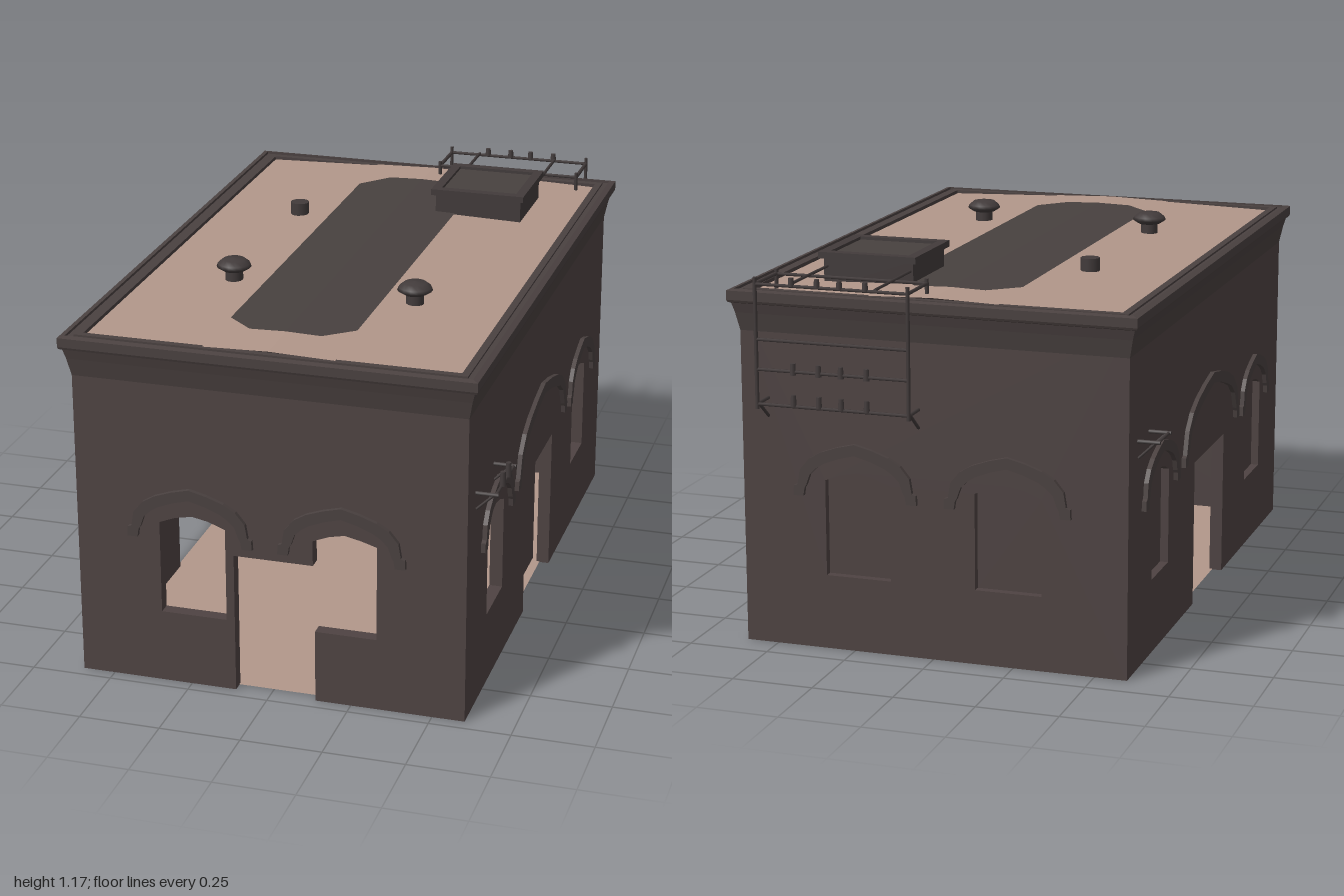
import * as THREE from 'three';

const mat = (name, color) => new THREE.MeshStandardMaterial({ name, color, side: THREE.DoubleSide });
const wallMat = mat('dark brick', 0x4e4342);
const trimMat = mat('dark trim', 0x4a4140);
const roofMat = mat('beige', 0xb2978a);
const patchMat = mat('roof patch', 0x48413f);
const metalMat = mat('dark metal', 0x423b3b);

const THICK = 0.04, Z0 = -0.91, Z1 = 0.96, ZC = (Z0 + Z1) / 2, HZ = (Z1 - Z0) / 2;
const WALL_TOP = 1.06;

function add(parent, name, geo, material, x = 0, y = 0, z = 0) {
  const m = new THREE.Mesh(geo, material);
  m.name = name;
  m.position.set(x, y, z);
  parent.add(m);
  return m;
}
const box = (p, name, m, w, h, d, x, y, z) => add(p, name, new THREE.BoxGeometry(w, h, d), m, x, y, z);
const shapeOf = pts => new THREE.Shape(pts.map(p => new THREE.Vector2(...p)));
const extrude = (shape, depth) => new THREE.ExtrudeGeometry(shape, { depth, bevelEnabled: false });

// Thin bar between two points
function rod(p, a, b, r = 0.005) {
  const A = new THREE.Vector3(...a), B = new THREE.Vector3(...b);
  const dir = B.clone().sub(A);
  const m = add(p, 'bar', new THREE.CylinderGeometry(r, r, dir.length(), 6), metalMat);
  m.position.copy(A).add(B).multiplyScalar(0.5);
  m.quaternion.setFromUnitVectors(new THREE.Vector3(0, 1, 0), dir.normalize());
}
const insulator = (p, x, y, z, h = 0.035) =>
  add(p, 'insulator', new THREE.CylinderGeometry(0.008, 0.01, h, 8), metalMat, x, y + h / 2, z);

// Window outline with a shallow pointed head
const windowPts = (c, w) => [
  [c - w / 2, 0.23], [c + w / 2, 0.23], [c + w / 2, 0.525],
  [c + w * 0.25, 0.545], [c, 0.555], [c - w * 0.25, 0.545], [c - w / 2, 0.525]];

// Raised hood moulding with knobbed feet
function arch(p, c, w, foot, peak) {
  const h = peak - foot;
  const outer = [[w, 0], [w - 0.002, 0.03], [w - 0.014, 0.035], [w * 0.89, h * 0.47],
    [w * 0.74, h * 0.68], [w * 0.55, h * 0.81], [w * 0.28, h * 0.92]];
  const t = 0.034;
  const inner = [[w * 0.26, h * 0.92 - t], [w * 0.5, h * 0.81 - t], [w * 0.74 - 0.025, h * 0.68 - 0.026],
    [w * 0.89 - 0.032, h * 0.47 - 0.012], [w - 0.042, 0.035], [w - 0.036, 0.025], [w - 0.032, 0]];
  const flip = a => a.map(([x, y]) => [-x, y]).reverse();
  const pts = [...outer, [0, h], ...flip(outer), ...flip(inner), [0, h - t], ...inner];
  add(p, 'archMoulding', extrude(shapeOf(pts.map(([x, y]) => [c + x, foot + y])), 0.014), trimMat);
}

// One wall: local x runs along it, local z = 0 is its outer face
function wall(parent, name, outline, windows, blind, arches) {
  const g = new THREE.Group();
  g.name = name;
  parent.add(g);
  const s = shapeOf(outline);
  windows.forEach(([c, w]) => s.holes.push(new THREE.Path(windowPts(c, w).map(p => new THREE.Vector2(...p)))));
  add(g, name + 'Panel', extrude(s, THICK), wallMat, 0, 0, -THICK);
  if (blind) windows.forEach(([c, w]) =>
    add(g, 'blindWindow', extrude(shapeOf(windowPts(c, w)), 0.015), wallMat, 0, 0, -THICK));
  arches.forEach(a => arch(g, ...a));
  return g;
}

// Rectangular rings [outset, height] joined into a cornice
function corniceGeometry(profile) {
  const pos = [];
  const sx = [-1, 1, 1, -1], sz = [1, 1, -1, -1];
  const pt = ([o, y], k) => [sx[k] * (0.6 + o), y, ZC + sz[k] * (HZ + o)];
  for (let i = 0; i < profile.length - 1; i++) for (let k = 0; k < 4; k++) {
    const n = (k + 1) % 4;
    const a = pt(profile[i], k), b = pt(profile[i], n), c = pt(profile[i + 1], n), d = pt(profile[i + 1], k);
    pos.push(...a, ...b, ...c, ...a, ...c, ...d);
  }
  const g = new THREE.BufferGeometry();
  g.setAttribute('position', new THREE.Float32BufferAttribute(pos, 3));
  g.computeVertexNormals();
  return g;
}

// Half of a gently pitched roof surface, from a plan outline of [x, z]
function roofGeometry(pts, lift) {
  const g = new THREE.ShapeGeometry(shapeOf(pts.map(([x, z]) => [x, -z])));
  g.rotateX(-Math.PI / 2);
  const p = g.attributes.position;
  for (let i = 0; i < p.count; i++) p.setY(i, 1.096 - 0.03 * Math.abs(p.getX(i)) + lift);
  g.computeVertexNormals();
  return g;
}

// Small wall bracket carrying insulators, in a wall's local frame
function wallBracket(p, a, b, studs) {
  const g = new THREE.Group();
  g.name = 'wallBracket';
  p.add(g);
  rod(g, [a, 0.7, 0.06], [b, 0.7, 0.06]);
  for (const u of [a, b]) {
    rod(g, [u, 0.7, 0], [u, 0.7, 0.068], 0.006);
    rod(g, [u, 0.7, 0.055], [u, 0.65, 0.003], 0.004);
  }
  studs.forEach(u => insulator(g, u, 0.7, 0.063, 0.045));
}

export function createModel() {
  const model = new THREE.Group();
  model.name = 'substationBuilding';

  // Floor
  const floor = add(model, 'floor', new THREE.PlaneGeometry(1.14, 1.81), roofMat, 0, 0.002, ZC);
  floor.rotation.x = -Math.PI / 2;

  // Front wall: doorway joined to the window beside it
  const front = wall(model, 'frontWall', [[-0.6, 0], [-0.11, 0], [-0.11, 0.445], [0.135, 0.445], [0.135, 0.525],
    [0.185, 0.545], [0.232, 0.555], [0.28, 0.545], [0.33, 0.53], [0.33, 0.23], [0.14, 0.23], [0.14, 0],
    [0.6, 0], [0.6, WALL_TOP], [-0.6, WALL_TOP]],
  [[-0.238, 0.205]], false, [[-0.243, 0.195, 0.475, 0.645], [0.225, 0.195, 0.475, 0.645]]);
  front.position.z = Z1;

  // Back wall with blind windows
  const back = wall(model, 'backWall', [[-0.6, 0], [0.6, 0], [0.6, WALL_TOP], [-0.6, WALL_TOP]],
    [[-0.235, 0.205], [0.235, 0.205]], true,
    [[-0.24, 0.195, 0.475, 0.645], [0.235, 0.195, 0.475, 0.645]]);
  back.rotation.y = Math.PI;
  back.position.z = Z0;

  // Side walls; s turns world z into the wall's own direction
  for (const s of [-1, 1]) {
    const e = [Z0 + THICK, Z1 - THICK];
    const outline = [[e[0], 0], [-0.16, 0], [-0.16, 0.465], [0.21, 0.465], [0.21, 0], [e[1], 0],
      [e[1], WALL_TOP], [e[0], WALL_TOP]].map(([z, y]) => [s * z, y]);
    const side = wall(model, s < 0 ? 'leftWall' : 'rightWall', outline,
      [[s * 0.61, 0.2], [s * -0.56, 0.185]], s > 0,
      [[s * 0.605, 0.19, 0.475, 0.645], [s * -0.575, 0.195, 0.475, 0.645], [s * 0.023, 0.345, 0.49, 0.715]]);
    side.rotation.y = -s * Math.PI / 2;
    side.position.x = -s * 0.6;
    if (s < 0) wallBracket(side, -0.87, -0.65, [-0.8, -0.73]);
    else wallBracket(side, -0.82, -0.7, []);
  }

  // Recessed door leaf with a small hole
  const leaf = shapeOf([[-0.21, 0.012], [0.16, 0.012], [0.16, 0.465], [-0.21, 0.465]]);
  leaf.holes.push(new THREE.Path().absarc(-0.14, 0.205, 0.012, 0, Math.PI * 2, true));
  const door = add(model, 'sideDoor', extrude(leaf, 0.012), wallMat, 0.535, 0, 0);
  door.rotation.y = Math.PI / 2;

  // Cornice and parapet
  add(model, 'cornice', corniceGeometry([[0, 0.965], [0.004, 0.985], [0.011, 1.02], [0.019, 1.05], [0.027, 1.053],
    [0.03, 1.06], [0.03, 1.088], [0.012, 1.092], [0.012, 1.084], [-0.008, 1.084], [-0.008, 1.09],
    [-0.03, 1.09], [-0.03, 1.06]]), trimMat);

  // Pitched roof and the long dark patch along its ridge
  for (const s of [-1, 1]) {
    add(model, 'roof', roofGeometry([[0, Z0 + 0.02], [s * 0.575, Z0 + 0.02], [s * 0.575, Z1 - 0.02], [0, Z1 - 0.02]], 0), roofMat);
    add(model, 'roofPatch', roofGeometry([[0, -0.74], [s * 0.11, -0.74], [s * 0.195, -0.65],
      [s * 0.195, 0.7], [s * 0.11, 0.78], [0, 0.78]], 0.004), patchMat);
  }

  // Roof hatch with raised rim
  const hatch = new THREE.Group();
  hatch.name = 'roofHatch';
  hatch.position.set(0.273, 0, -0.565);
  model.add(hatch);
  box(hatch, 'hatchBody', metalMat, 0.285, 0.1, 0.27, 0, 1.11, 0);
  for (const s of [-1, 1]) {
    box(hatch, 'hatchRim', metalMat, 0.03, 0.02, 0.3, s * 0.14, 1.165, 0);
    box(hatch, 'hatchRim', metalMat, 0.25, 0.02, 0.03, 0, 1.165, s * 0.135);
  }
  box(hatch, 'hatchLid', patchMat, 0.25, 0.008, 0.24, 0, 1.162, 0);

  // Mushroom vents and a short pipe
  const cap = [[0, 1.118], [0.035, 1.118], [0.054, 1.13], [0.05, 1.14], [0.034, 1.153], [0, 1.157]]
    .map(p => new THREE.Vector2(...p));
  for (const [x, z] of [[-0.3, 0.36], [0.29, 0.41]]) {
    const vent = new THREE.Group();
    vent.name = 'roofVent';
    vent.position.set(x, 0, z);
    model.add(vent);
    add(vent, 'ventStem', new THREE.CylinderGeometry(0.028, 0.028, 0.06, 12), metalMat, 0, 1.095, 0);
    add(vent, 'ventCap', new THREE.LatheGeometry(cap, 14), metalMat);
  }
  add(model, 'roofPipe', new THREE.CylinderGeometry(0.03, 0.03, 0.06, 10), metalMat, -0.3, 1.097, -0.31);

  // Cable rack hung over the back edge
  const rack = new THREE.Group();
  rack.name = 'cableRack';
  model.add(rack);
  const L = 0.04, R = 0.515, ZB = -0.99, ZF = -0.83;
  for (const x of [L, R]) {
    rod(rack, [x, 1.125, ZF], [x, 1.125, ZB], 0.006);
    rod(rack, [x, 1.145, ZB], [x, 0.75, ZB], 0.006);
    rod(rack, [x, 1.08, ZF], [x, 1.14, ZF], 0.006);
    rod(rack, [x, 0.765, ZB], [x, 0.765, Z0], 0.006);
    rod(rack, [x, 0.765, ZB + 0.01], [x, 0.71, Z0]);
  }
  for (const x of [0.14, 0.405]) rod(rack, [x, 1.13, -0.7], [x, 1.13, ZB]);
  rod(rack, [L, 1.125, ZF], [R, 1.125, ZF]);
  for (const y of [1.125, 0.96, 0.87, 0.765]) rod(rack, [L, y, ZB], [R, y, ZB]);
  for (const y of [1.125, 0.86, 0.765])
    for (const x of [0.17, 0.25, 0.32, 0.4]) insulator(rack, x, y, ZB, y > 1 ? 0.025 : 0.035);

  return model;
}
